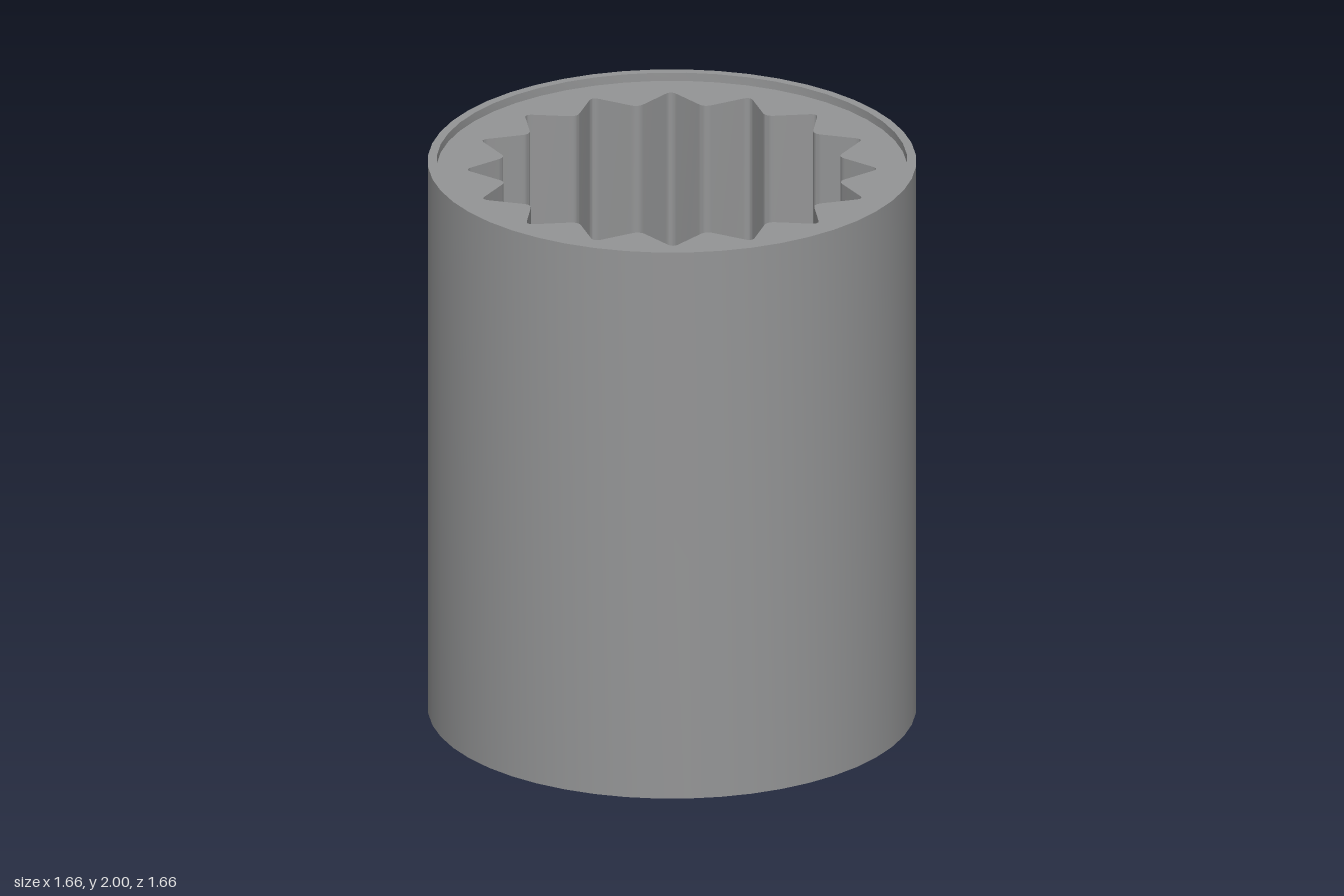
import * as THREE from 'three';
import { toCreasedNormals } from 'three/addons/utils/BufferGeometryUtils.js';

const R = 0.83, RIM = 0.8, HEIGHT = 2, FACE_Y = 1.97;
const STAR_FLOOR = 0.9, DRIVE_TOP = 0.72, DRIVE_HALF = 0.36, BORE = 0.18;
const CONE_SLOPE = 0.55, SEGMENTS = 48;

// Counterclockwise outline whose radius is a function of the angle
function outline(radiusAt, count = SEGMENTS) {
  return Array.from({ length: count }, (_, i) => {
    const a = (i / count) * Math.PI * 2;
    const r = radiusAt(a);
    return new THREE.Vector2(Math.cos(a) * r, Math.sin(a) * r);
  });
}

// Replaces every corner of an outline by a small curve
function roundCorners(points, cut) {
  const out = [];
  points.forEach((p, i) => {
    const before = points[(i + points.length - 1) % points.length];
    const after = points[(i + 1) % points.length];
    const a = p.clone().add(before.clone().sub(p).setLength(cut));
    const b = p.clone().add(after.clone().sub(p).setLength(cut));
    out.push(...new THREE.QuadraticBezierCurve(a, p, b).getPoints(6));
  });
  return out;
}

// Inward-facing wall between a lower and an upper outline
function innerWall(lower, lowerY, upper, upperY) {
  const positions = [];
  const n = lower.length;
  const add = (p, y) => positions.push(p.x, y(p), -p.y);
  for (let i = 0; i < n; i++) {
    const j = (i + 1) % n;
    add(lower[i], lowerY); add(upper[i], upperY); add(lower[j], lowerY);
    add(lower[j], lowerY); add(upper[i], upperY); add(upper[j], upperY);
  }
  const geo = new THREE.BufferGeometry();
  geo.setAttribute('position', new THREE.Float32BufferAttribute(positions, 3));
  return toCreasedNormals(geo, 0.6);
}

// Horizontal plate with a hole, facing up (1) or down (-1)
function plate(outer, hole, y, facing) {
  const shape = new THREE.Shape(outer);
  shape.holes.push(new THREE.Path(hole));
  return new THREE.ShapeGeometry(shape).rotateX(-facing * Math.PI / 2).translate(0, y, 0);
}

export function createModel() {
  const group = new THREE.Group();
  const steel = new THREE.MeshStandardMaterial({ color: 0x949596 });
  steel.name = 'steel grey';
  const add = (name, geometry) => {
    const mesh = new THREE.Mesh(geometry, steel);
    mesh.name = name;
    group.add(mesh);
  };
  const level = (y) => () => y;
  const coneY = (p) => CONE_SLOPE * Math.max(0, R - p.length());

  const rim = outline(() => R);
  const bore = outline(() => BORE, 24);
  const drive = outline((a) => DRIVE_HALF / Math.max(Math.abs(Math.cos(a)), Math.abs(Math.sin(a))));
  // Sixteen-point star, valleys on the axes
  const corners = Array.from({ length: 32 }, (_, i) => {
    const a = (i / 32) * Math.PI * 2;
    const r = i % 2 ? 0.705 : 0.575;
    return new THREE.Vector2(Math.cos(a) * r, Math.sin(a) * r);
  });
  const star = roundCorners(corners, 0.03);

  // Outer sleeve with its raised rim
  const profile = [[R, 0], [R, HEIGHT], [RIM, HEIGHT], [RIM, FACE_Y]].map(([x, y]) => new THREE.Vector2(x, y));
  add('outerSleeve', toCreasedNormals(new THREE.LatheGeometry(profile, SEGMENTS), 0.6));

  // Top face and star-shaped socket
  add('topFace', plate(outline(() => RIM), star, FACE_Y, 1));
  add('starSocketWall', innerWall(star, level(STAR_FLOOR), star, level(FACE_Y)));
  add('starSocketFloor', plate(star, bore, STAR_FLOOR, 1));

  // Centre bore joining the two sockets
  add('centreBore', innerWall(bore, level(DRIVE_TOP), bore, level(STAR_FLOOR)));

  // Square drive opening out of a conical underside
  add('driveCeiling', plate(drive, bore, DRIVE_TOP, -1));
  add('driveWall', innerWall(drive, coneY, drive, level(DRIVE_TOP)));
  add('conicalUnderside', innerWall(rim, level(0), drive, coneY));

  return group;
}
